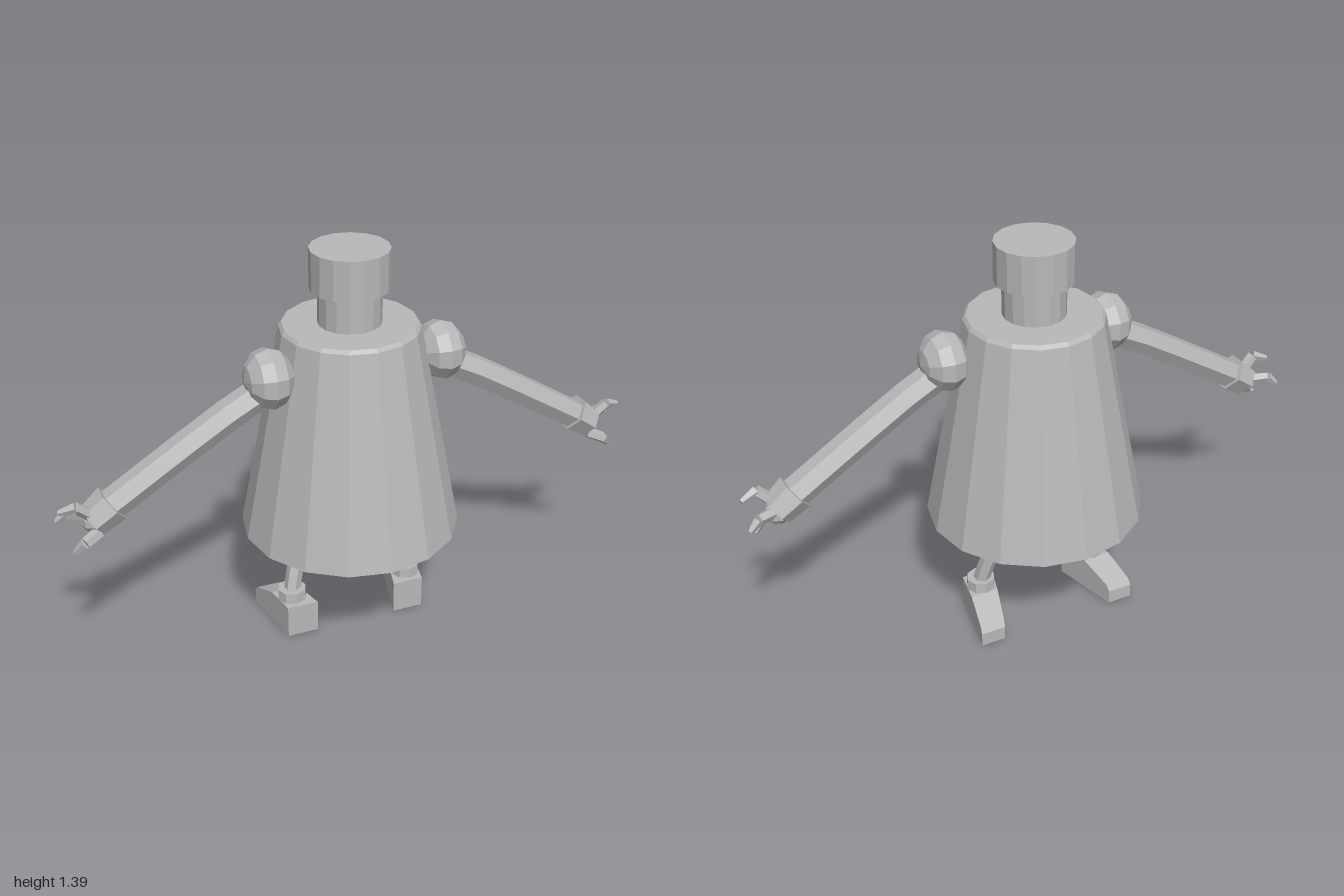
import * as THREE from 'three';

const UP = new THREE.Vector3(0, 1, 0);
const v = (x, y, z) => new THREE.Vector3(x, y, z);

export function createModel() {
  const model = new THREE.Group();
  model.name = 'robot';
  const grey = new THREE.MeshStandardMaterial({ color: 0xb8b8b8, flatShading: true });
  grey.name = 'plain grey';

  const add = (name, geometry, parent = model) => {
    const mesh = new THREE.Mesh(geometry, grey);
    mesh.name = name;
    parent.add(mesh);
    return mesh;
  };

  // Tapered prism between two points
  const link = (name, p, q, r1, r2, sides, parent) => {
    const dir = q.clone().sub(p);
    const mesh = add(name, new THREE.CylinderGeometry(r2, r1, dir.length(), sides), parent);
    mesh.position.copy(p).add(q).multiplyScalar(0.5);
    mesh.quaternion.setFromUnitVectors(UP, dir.normalize());
    return mesh;
  };

  // Bent limb through a few points
  const limb = (name, points, radius, sides, parent) =>
    add(name, new THREE.TubeGeometry(new THREE.CatmullRomCurve3(points), 4, radius, sides), parent);

  // Turned parts, profiles as [radius, height] from bottom to top
  const turned = {
    body: [[0, 0.365], [0.31, 0.365], [0.372, 0.4], [0.232, 1.125], [0.222, 1.137], [0, 1.137]],
    neck: [[0, 1.12], [0.105, 1.12], [0.105, 1.27], [0, 1.27]],
    head: [[0, 1.255], [0.131, 1.255], [0.131, 1.39], [0, 1.39]],
  };
  for (const [name, profile] of Object.entries(turned)) {
    add(name, new THREE.LatheGeometry(profile.map(([r, y]) => new THREE.Vector2(r, y)), 16));
  }

  for (const s of [1, -1]) {
    const side = s > 0 ? 'left' : 'right';

    // Arm with shoulder ball, bent hexagonal tube and hand
    const arm = new THREE.Group();
    arm.name = side + 'Arm';
    model.add(arm);
    const ball = new THREE.SphereGeometry(0.102, 10, 6).rotateZ(Math.PI / 2).scale(0.8, 1, 1);
    add('shoulder', ball, arm).position.set(s * 0.298, 1.012, 0.053);
    limb('armTube', [v(s * 0.29, 0.985, 0.053), v(s * 0.42, 0.918, 0.053),
      v(s * 0.57, 0.828, 0.053), v(s * 0.84, 0.66, 0.053)], 0.052, 6, arm);
    link('hand', v(s * 0.826, 0.674, 0.053), v(s * 0.893, 0.624, 0.053), 0.066, 0.057, 6, arm);
    add('knuckle', new THREE.SphereGeometry(0.044, 8, 5), arm).position.set(s * 0.89, 0.626, 0.045);

    // Three curved claws: root, bend, tip
    const claws = [
      [[0.9, 0.655, 0.07], [0.945, 0.698, 0.08], [0.998, 0.682, 0.065]],
      [[0.905, 0.635, 0.03], [0.965, 0.64, 0.005], [0.998, 0.61, -0.004]],
      [[0.88, 0.595, 0.08], [0.93, 0.575, 0.1], [0.962, 0.54, 0.085]],
    ];
    for (const claw of claws) {
      const [root, bend, tip] = claw.map(([x, y, z]) => v(s * x, y, z));
      link('clawBase', root, bend, 0.021, 0.019, 5, arm);
      link('clawTip', bend, tip, 0.019, 0.01, 5, arm);
    }

    // Leg with ankle cuff
    const leg = new THREE.Group();
    leg.name = side + 'Leg';
    model.add(leg);
    limb('legTube', [v(s * 0.14, 0.39, -0.052), v(s * 0.165, 0.32, -0.045),
      v(s * 0.195, 0.23, -0.025), v(s * 0.216, 0.14, -0.008)], 0.029, 6, leg);
    add('ankle', new THREE.CylinderGeometry(0.05, 0.052, 0.045, 8), leg)
      .position.set(s * 0.216, 0.132, -0.007);

    // Foot: side profile extruded, then narrowed and splayed towards the toe
    const profile = [[-0.06, 0], [0.18, 0], [0.18, 0.05], [0.165, 0.072], [0.055, 0.117], [-0.06, 0.117]];
    const foot = new THREE.ExtrudeGeometry(
      new THREE.Shape(profile.map(([a, b]) => new THREE.Vector2(a, b))),
      { depth: 0.11, bevelEnabled: false });
    foot.translate(0, 0, -0.055).rotateY(Math.PI / 2);
    const pos = foot.attributes.position;
    for (let i = 0; i < pos.count; i++) {
      const t = (0.06 - pos.getZ(i)) / 0.24;
      pos.setX(i, s * (0.2 + 0.052 * t) + pos.getX(i) * (1 - 0.2 * t));
    }
    foot.computeVertexNormals();
    add('foot', foot, leg);
  }
  return model;
}
